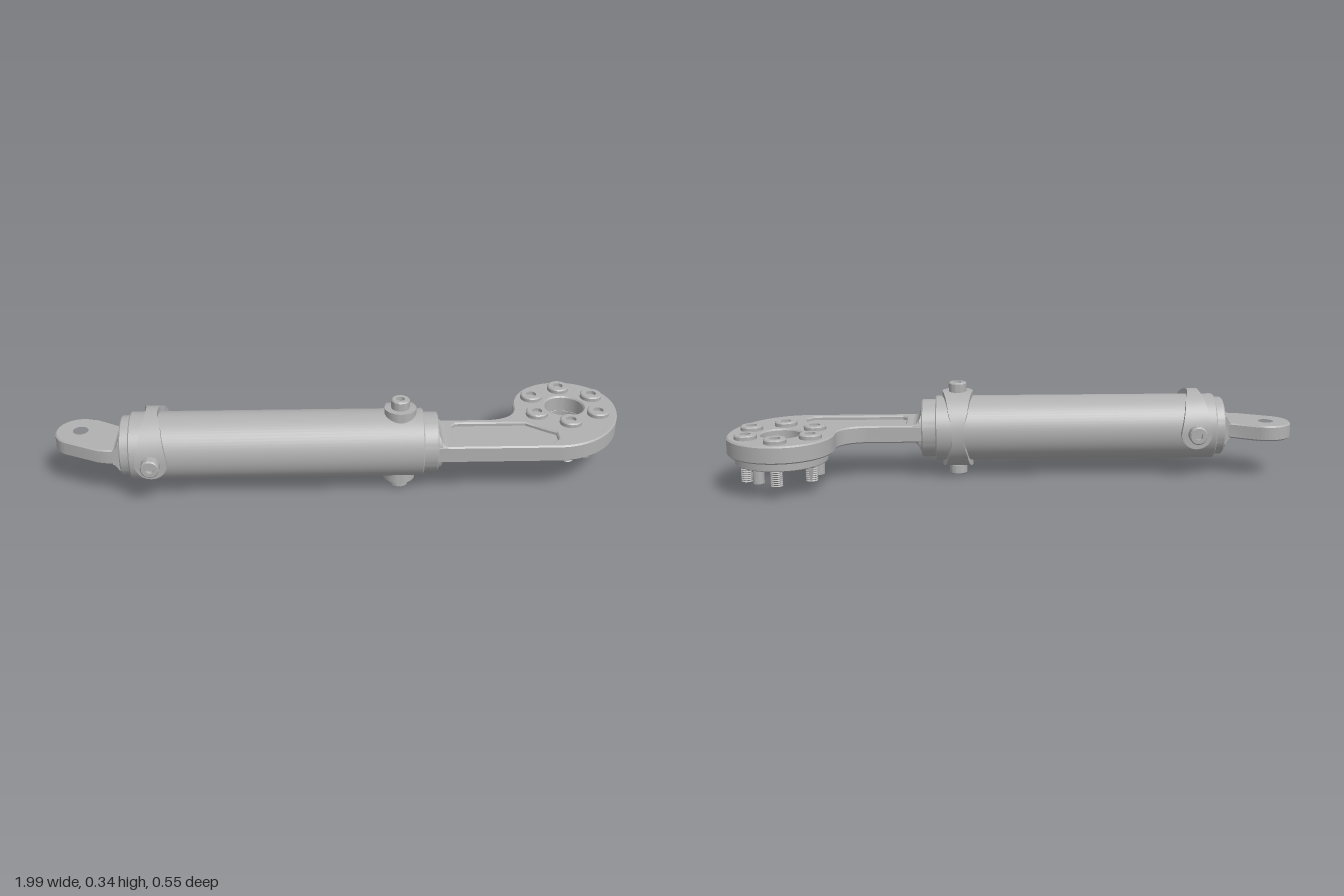
import * as THREE from 'three';
import { toCreasedNormals } from 'three/addons/utils/BufferGeometryUtils.js';

const AX_Y = 0.172, AX_Z = 0.103;          // cylinder axis
const EYE = [0.81, -0.088], BOLT_RING = 0.127;
const steel = new THREE.MeshStandardMaterial({ color: 0xb0b0b0 });
steel.name = 'steel grey';

function add(parent, name, geo, x = 0, y = 0, z = 0) {
  const m = new THREE.Mesh(geo, steel);
  m.name = name;
  m.position.set(x, y, z);
  parent.add(m);
  return m;
}

// Skin a list of equal-length convex sections and cap both ends
function loft(sections) {
  const tris = [], n = sections[0].length;
  for (let i = 0; i + 1 < sections.length; i++) {
    for (let j = 0; j < n; j++) {
      const k = (j + 1) % n, a = sections[i], b = sections[i + 1];
      tris.push([a[j], b[j], b[k]], [a[j], b[k], a[k]]);
    }
  }
  const first = sections[0], last = sections[sections.length - 1];
  for (let j = 1; j + 1 < n; j++) {
    tris.push([first[0], first[j], first[j + 1]], [last[0], last[j + 1], last[j]]);
  }
  // turn every face outward if the enclosed volume is negative
  const volume = tris.reduce((s, [a, b, c]) => s + a.dot(b.clone().cross(c)), 0);
  const pts = tris.flatMap(([a, b, c]) => (volume < 0 ? [a, c, b] : [a, b, c]));
  return toCreasedNormals(new THREE.BufferGeometry().setFromPoints(pts), 0.5);
}

function lathe(profile, segments = 32) {
  const pts = profile.map(([r, y]) => new THREE.Vector2(r, y));
  return toCreasedNormals(new THREE.LatheGeometry(pts, segments), 0.5);
}

// Horizontal plate from an (x, z) outline, filling y from bottom to top
function plate(shape, bottom, top, bevel = 0) {
  const geo = new THREE.ExtrudeGeometry(shape, {
    depth: top - bottom - 2 * bevel, curveSegments: 24, bevelEnabled: bevel > 0,
    bevelThickness: bevel, bevelSize: bevel, bevelOffset: -bevel, bevelSegments: 1,
  });
  geo.rotateX(Math.PI / 2).translate(0, top - bevel, 0);
  return toCreasedNormals(geo, 0.5);
}

function circle(x, z, r) {
  return new THREE.Path().absarc(x, z, r, 0, Math.PI * 2, true);
}

// Cap screw head standing on y = 0 with a socket in its top
function head(r, h, socket, depth) {
  const c = 0.004;
  return lathe([[0, 0], [r, 0], [r, h - c], [r - c, h], [socket, h], [socket, h - depth], [0, h - depth]]);
}

// Half band over the cylinder, with a rounded lug and a screw on each side.
// Local axes: x along the cylinder, y to the crown, z across the lugs.
function makeClamp(name) {
  const g = new THREE.Group();
  g.name = name;
  const R = 0.137, IN = 0.1, W = 0.055, path = [];
  const width = h => h < 0 ? Math.sqrt(Math.max(W * W - h * h, 1e-7))
    : h < 0.115 ? W - h * 0.19 : 0.033 - (h - 0.115) * 0.6;
  for (let i = 0; i < 10; i++) {
    const h = -W * Math.cos(i / 10 * Math.PI / 2);
    path.push([R, h, IN, h]);
  }
  for (let i = 0; i <= 18; i++) {
    const a = i / 18 * Math.PI / 2;
    path.push([R * Math.cos(a), R * Math.sin(a), IN * Math.cos(a), IN * Math.sin(a)]);
  }
  const mirrored = path.slice(0, -1).reverse().map(([t, h, ti, hi]) => [-t, h, -ti, hi]);
  const sections = [...path, ...mirrored].map(([t, h, ti, hi]) => {
    const w = width(h);
    return [[-w, h, t], [w, h, t], [w, hi, ti], [-w, hi, ti]].map(p => new THREE.Vector3(...p));
  });
  add(g, 'clampBand', loft(sections));
  for (const s of [1, -1]) {
    const screw = add(g, 'clampScrew', head(0.032, 0.034, 0.014, 0.015), 0, 0, s * 0.135);
    screw.rotation.x = s * Math.PI / 2;
  }
  return g;
}

// Scooped transition from a round collar to a flat plate
function saddle(x0, x1, r, w, halfPlate) {
  const sections = [];
  for (let i = 0; i <= 8; i++) {
    const a = i / 8 * Math.PI / 2;
    const x = x0 + (x1 - x0) * (1 - Math.cos(a));
    const h = halfPlate + (r - halfPlate) * (1 - Math.sin(a));
    const top = [], bottom = [];
    for (let j = 0; j <= 20; j++) {
      const z = w * (j / 10 - 1), y = Math.min(h, Math.sqrt(r * r - z * z));
      top.push(new THREE.Vector3(x, y, z));
      bottom.unshift(new THREE.Vector3(x, -y, z));
    }
    sections.push([...top, ...bottom]);
  }
  return loft(sections);
}

export function createModel() {
  const model = new THREE.Group();
  model.name = 'actuator';

  // Barrel with a stepped collar at each end
  const barrel = lathe([[0, -0.76], [0.1, -0.76], [0.104, -0.756], [0.104, -0.728], [0.113, -0.728],
    [0.117, -0.724], [0.117, 0.276], [0.113, 0.28], [0.104, 0.28], [0.104, 0.326], [0.1, 0.33], [0, 0.33]], 64);
  barrel.rotateZ(-Math.PI / 2);
  add(model, 'barrel', barrel, 0, AX_Y, AX_Z);
  add(model, 'rearSaddle', saddle(-0.758, -0.785, 0.1, 0.085, 0.027), 0, AX_Y, AX_Z);
  add(model, 'frontSaddle', saddle(0.328, 0.36, 0.1, 0.096, 0.03), 0, AX_Y, AX_Z);

  // Clamps: one over the top, one around the back
  const rearClamp = makeClamp('rearClamp');
  rearClamp.position.set(-0.65, AX_Y, AX_Z);
  const frontClamp = makeClamp('frontClamp');
  frontClamp.position.set(0.2, AX_Y, AX_Z);
  frontClamp.rotation.x = -Math.PI / 2;
  model.add(rearClamp, frontClamp);

  // Rear mounting eye
  const eye = new THREE.Shape();
  eye.moveTo(-0.74, 0.022);
  eye.lineTo(-0.765, 0.022);
  eye.lineTo(-0.873, -0.037);
  eye.absarc(-0.912, 0.046, 0.088, -1.1, -4.25, true);
  eye.lineTo(-0.835, 0.18);
  eye.lineTo(-0.8, 0.187);
  eye.lineTo(-0.74, 0.187);
  eye.closePath();
  eye.holes.push(circle(-0.912, 0.046, 0.032));
  add(model, 'rearEye', plate(eye, 0.145, 0.2, 0.005));

  // Arm sweeping round to the front eye, pocketed on both faces
  const [ex, ez] = EYE;
  const arm = new THREE.Shape();
  arm.moveTo(0.32, 0.2);
  arm.lineTo(0.32, 0.006);
  arm.lineTo(0.52, 0.006);
  arm.bezierCurveTo(0.59, 0.002, 0.625, -0.035, 0.625, ez);
  arm.absarc(ex, ez, 0.185, Math.PI, Math.PI * 2, false);
  arm.absellipse(0.74, ez, 0.255, 0.288, 0, Math.PI / 2, false, 0);
  arm.closePath();
  const pocket = new THREE.Path([[0.387, 0.045], [0.387, 0.155], [0.402, 0.17], [0.725, 0.17], [0.748, 0.145],
    [0.748, 0.1], [0.71, 0.075], [0.65, 0.03], [0.402, 0.03]].map(p => new THREE.Vector2(...p)));
  arm.holes.push(pocket, circle(ex, ez, 0.07));
  add(model, 'arm', plate(arm, 0.14, 0.202, 0.005));
  const web = new THREE.Shape();
  web.moveTo(0.37, 0.02).lineTo(0.655, 0.02).lineTo(0.76, 0.09).lineTo(0.76, 0.18).lineTo(0.37, 0.18);
  add(model, 'armWeb', plate(web, 0.154, 0.188));

  // Flange below the front eye
  const flange = new THREE.Shape().absarc(ex, ez, 0.16, 0, Math.PI * 2, false);
  flange.holes.push(circle(ex, ez, 0.07));
  add(model, 'flange', plate(flange, 0.108, 0.145, 0.003));

  // Six cap screws with threaded ends, and three dowel pins between them
  const thread = [[0, 0], [0.016, 0]];
  for (let i = 0; i < 8; i++) thread.push([0.021, 0.003 + i * 0.007], [0.017, 0.0065 + i * 0.007]);
  thread.push([0.017, 0.065], [0, 0.065]);
  const threadGeo = lathe(thread, 20);
  const headGeo = head(0.039, 0.018, 0.018, 0.012);
  const pinGeo = lathe([[0, 0], [0.017, 0], [0.02, 0.003], [0.02, 0.06], [0, 0.06]], 24);
  for (let i = 0; i < 6; i++) {
    const a = Math.PI / 2 + i * Math.PI / 3;
    const x = ex + BOLT_RING * Math.cos(a), z = ez + BOLT_RING * Math.sin(a);
    add(model, 'flangeScrewHead', headGeo, x, 0.2, z);
    add(model, 'flangeScrewThread', threadGeo, x, 0.05, z);
  }
  for (let i = 0; i < 3; i++) {
    const a = Math.PI + i * Math.PI * 2 / 3;
    add(model, 'dowelPin', pinGeo, ex + BOLT_RING * Math.cos(a), 0.055, ez + BOLT_RING * Math.sin(a));
  }
  return model;
}
